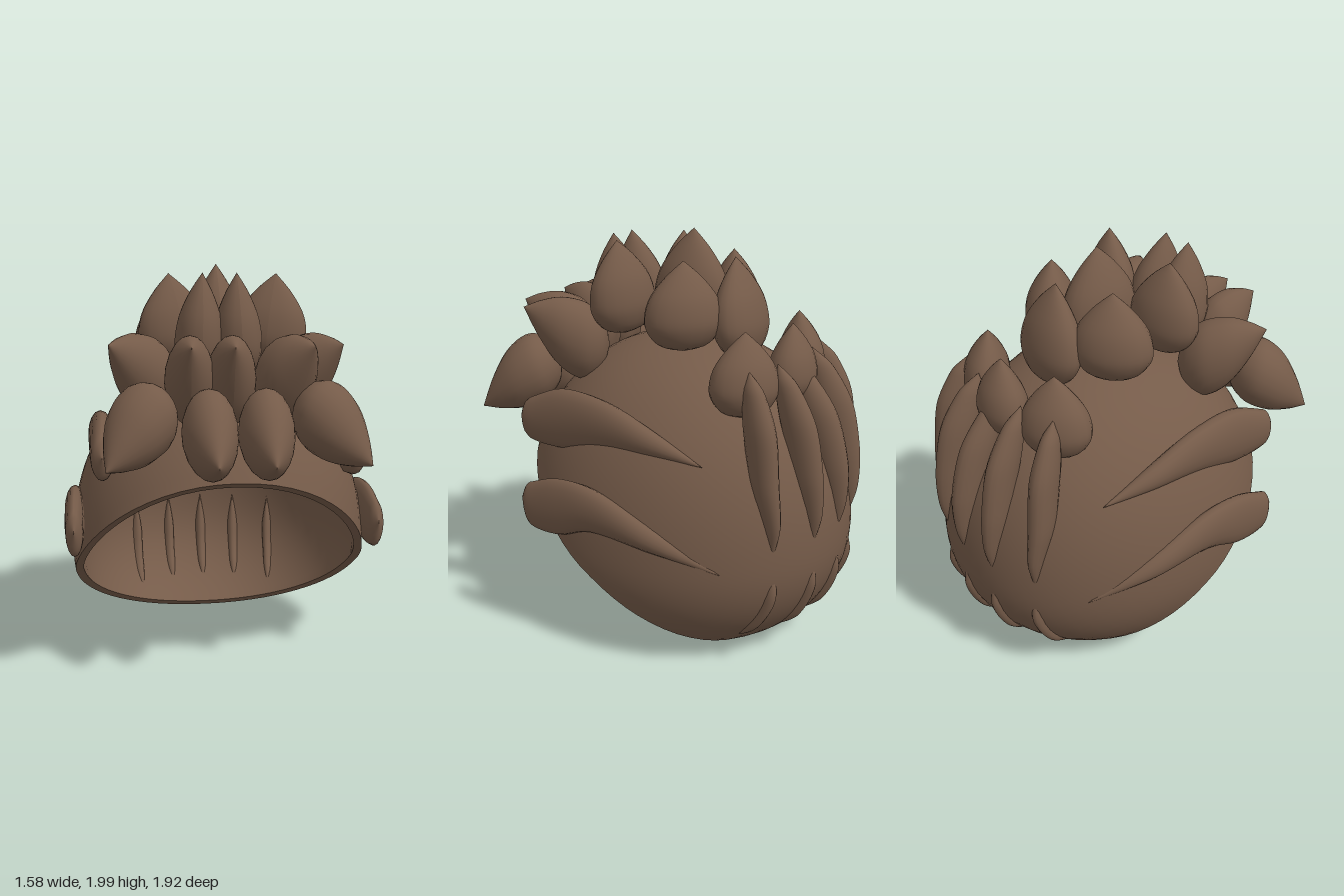
import * as THREE from 'three';

const V = (x, y, z) => new THREE.Vector3(x, y, z);
const P = 2.1, C = V(0, 0.55, -0.08), R = V(0.76, 0.95, 0.85), LOW = 0.65;
const pw = (v) => Math.pow(Math.abs(v), P);
const ry = (y) => (y > 0 ? R.y : LOW);

// Rounded skull surface, its back depth, and the height of the slanted opening
const skull = (d) => d.clone().multiplyScalar(
  Math.pow(pw(d.x / R.x) + pw(d.y / ry(d.y)) + pw(d.z / R.z), -1 / P)).add(C);
const backZ = (x, y) => C.z - R.z * Math.pow(
  Math.max(0, 1 - pw(x / R.x) - pw((y - C.y) / ry(y - C.y))), 1 / P);
const cutY = (z) => (z < 0 ? 0.43 + 0.74 * z : 0.43 + 0.6 * z + 0.42 * z * z);

// Smooth surface through a grid of points f(i, j), i = 0..m, j = 0..n (closed in j)
function grid(m, n, f) {
  const pos = [], idx = [];
  for (let i = 0; i <= m; i++) for (let j = 0; j < n; j++) pos.push(...f(i, j).toArray());
  for (let i = 0; i < m; i++) for (let j = 0; j < n; j++) {
    const k = (j + 1) % n, a = i * n + j, b = i * n + k, c = a + n, d = b + n;
    idx.push(a, c, b, b, c, d);
  }
  const g = new THREE.BufferGeometry();
  g.setAttribute('position', new THREE.Float32BufferAttribute(pos, 3));
  g.setIndex(idx);
  g.computeVertexNormals();
  return g;
}

export function createModel() {
  const group = new THREE.Group();
  const hair = new THREE.MeshStandardMaterial({ color: 0x755b49, side: THREE.DoubleSide });
  hair.name = 'brown hair';
  const add = (name, geo) => {
    const mesh = new THREE.Mesh(geo, hair);
    mesh.name = name;
    group.add(mesh);
  };

  // Cap: rings spread from a pole up and back until they meet the opening
  const N = 64, M = 24, INNER = 0.945;
  const pole = V(0, 0.79, -0.61), fwd = V(0, 0.61, 0.79), side = V(1, 0, 0);
  const dir = (t, a) => pole.clone().multiplyScalar(Math.cos(t))
    .addScaledVector(side, Math.sin(t) * Math.sin(a))
    .addScaledVector(fwd, Math.sin(t) * Math.cos(a));
  const limit = [];
  for (let j = 0; j < N; j++) {
    let lo = 0.3, hi = 2.9;
    for (let k = 0; k < 30; k++) {
      const mid = (lo + hi) / 2, p = skull(dir(mid, (j / N) * Math.PI * 2));
      if (p.y > cutY(p.z)) lo = mid; else hi = mid;
    }
    limit.push(lo);
  }
  const capPoint = (s, j, k) =>
    skull(dir(limit[j] * s, (j / N) * Math.PI * 2)).sub(C).multiplyScalar(k).add(C);
  add('capOuter', grid(M, N, (i, j) => capPoint(i / M, j, 1)));
  add('capLining', grid(M, N, (i, j) => capPoint(1 - i / M, j, INNER)));
  add('capRim', grid(1, N, (i, j) => capPoint(1, j, i ? INNER : 1)));

  // Teardrop spikes: round root, pointed tip; lift bends the tip up or down
  const profile = new THREE.SplineCurve([[0, 0], [0.6, 0.07], [0.92, 0.22], [1, 0.38],
    [0.86, 0.6], [0.47, 0.82], [0, 1]].map(([x, y]) => new THREE.Vector2(x, y)));
  const drop = new THREE.LatheGeometry(
    profile.getPoints(20).map((p) => new THREE.Vector2(Math.max(0, p.x), p.y)), 20);
  function spike(name, root, tip, width, depth, { lift = 0, yaw = 0 } = {}) {
    const a = V(...root), y = V(...tip).sub(a);
    y.y -= lift;
    const len = y.length();
    y.normalize();
    const z = V(1, 0, 0).cross(y).normalize(), x = y.clone().cross(z);
    const g = drop.clone().scale(width, len, depth).rotateY(yaw)
      .applyMatrix4(new THREE.Matrix4().makeBasis(x, y, z).setPosition(a));
    const pos = g.attributes.position, t = drop.attributes.position;
    for (let i = 0; i < pos.count; i++) pos.setY(i, pos.getY(i) + lift * t.getY(i) ** 2);
    g.computeVertexNormals();
    add(name, g);
  }

  // Fringe, crown and nape spikes that mirror
  for (const s of [-1, 1]) {
    spike('fringeInner', [s * 0.13, 1.27, 0.52], [s * 0.12, 1.145, 0.96], 0.125, 0.195, { lift: -0.11 });
    spike('fringeOuter', [s * 0.32, 1.35, 0.49], [s * 0.585, 1.11, 0.79], 0.16, 0.17, { lift: -0.14 });
    spike('crownBack', [s * 0.25, 1.46, -0.2], [s * 0.24, 1.88, -0.19], 0.19, 0.13, { yaw: -s * 0.68 });
    spike('nape', [s * 0.31, 1.21, -0.56], [s * 0.28, 1.6, -0.54], 0.17, 0.115, { yaw: -s * 0.6 });
    spike('crownSide', [s * 0.22, 1.5, 0.13 + s * 0.02], [s * 0.26, 1.95, 0.145 + s * 0.025],
      0.18, 0.115, { yaw: -s * 0.3 });
  }

  // Second row, bent upwards: root, tip, half width
  const row = [
    [[-0.19, 1.43, 0.37], [-0.21, 1.63, 0.73], 0.115],
    [[0.0, 1.43, 0.37], [-0.02, 1.63, 0.73], 0.115],
    [[0.19, 1.43, 0.34], [0.34, 1.63, 0.69], 0.14],
    [[0.24, 1.43, 0.24], [0.5, 1.63, 0.56], 0.14],
    [[-0.27, 1.43, 0.18], [-0.56, 1.63, 0.47], 0.14],
  ];
  for (const [root, tip, w] of row) spike('secondRow', root, tip, w, 0.195, { lift: 0.17 });

  // Spikes along the middle
  spike('crownFront', [-0.14, 1.45, 0.28], [-0.12, 1.95, 0.35], 0.115, 0.15);
  spike('crownFront', [0.06, 1.45, 0.28], [0.04, 1.95, 0.35], 0.115, 0.15);
  spike('crownCentre', [0, 1.48, -0.08], [0, 2, -0.1], 0.13, 0.2);
  spike('crownRear', [0, 1.4, -0.39], [0, 1.88, -0.33], 0.2, 0.11);
  spike('nape', [0, 1.22, -0.65], [0, 1.6, -0.64], 0.15, 0.11);

  // Tapered lock: stations of [x, y, z, half width along A, half width along B]
  function lock(name, stations, A, B) {
    const path = new THREE.CatmullRomCurve3(stations.map((s) => V(s[0], s[1], s[2])));
    const size = new THREE.CatmullRomCurve3(stations.map((s) => V(s[3], s[4], 0)));
    const m = 28, n = 16;
    add(name, grid(m, n, (i, j) => {
      const u = i / m, a = (j / n) * Math.PI * 2, r = size.getPoint(u);
      return path.getPoint(u).addScaledVector(A, Math.cos(a) * Math.max(0, r.x))
        .addScaledVector(B, Math.sin(a) * Math.max(0, r.y));
    }));
  }

  // Two swept locks on each side
  const upper = [[0.6, 1.12, 0.52, 0, 0], [0.6, 1.11, 0.47, 0.05, 0.1],
    [0.595, 1.14, 0.25, 0.065, 0.15], [0.605, 1.155, 0, 0.06, 0.115],
    [0.605, 1.115, -0.25, 0.045, 0.06], [0.57, 1.04, -0.5, 0, 0]];
  const lower = [[0.74, 0.75, 0.42, 0, 0], [0.74, 0.73, 0.37, 0.04, 0.11],
    [0.74, 0.75, 0.2, 0.05, 0.145], [0.74, 0.78, 0, 0.05, 0.11],
    [0.715, 0.7, -0.32, 0.045, 0.06], [0.61, 0.56, -0.62, 0, 0]];
  for (const s of [-1, 1]) for (const set of [upper, lower]) {
    lock(set === upper ? 'sideLockUpper' : 'sideLockLower',
      set.map(([x, ...rest]) => [s * x, ...rest]), V(1, 0, 0), V(0, 1, 0));
  }

  // Five locks down the back, each reappearing as a sliver near the lower edge
  for (const x of [-0.42, -0.21, 0, 0.21, 0.42]) {
    const out = V(x * 0.9, 0, -0.8).normalize(), across = V(-out.z, 0, out.x);
    const z0 = backZ(x, 0.93), lean = 1 - 1.2 * Math.abs(x);
    lock('backLock', [[x * 0.88, 1.45, z0 + 0.24 * lean, 0, 0],
      [x * 0.91, 1.37, z0 + 0.18 * lean, 0.04, 0.06],
      [x * 0.96, 1.18, z0 + 0.075 * lean, 0.06, 0.095],
      [x, 0.95, z0, 0.055, 0.085],
      [x, 0.76, backZ(x, 0.76) + 0.015, 0.035, 0.055],
      [x, 0.58, backZ(x, 0.58) + 0.03, 0, 0]], across, out);
    const at = (k, y, off, w, d) =>
      [x * k + out.x * off, y, backZ(x * k, y) + out.z * off, w, d];
    lock('lowerSliver', [at(1, 0.62, -0.05, 0, 0), at(1, 0.4, -0.03, 0.032, 0.055),
      at(0.98, 0.23, -0.025, 0.03, 0.055), at(0.92, 0.09, -0.025, 0, 0)], across, out);
  }
  return group;
}
